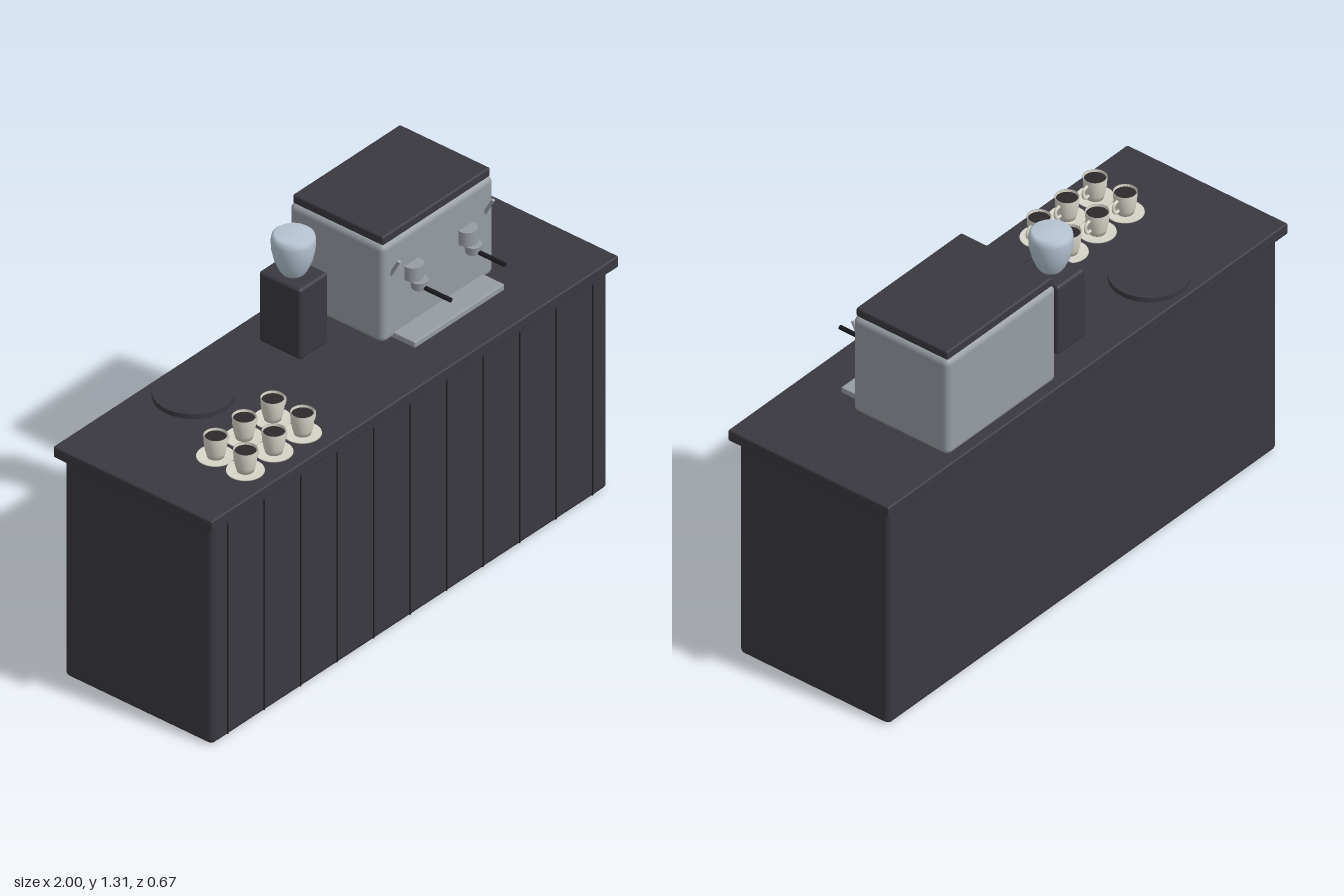
import * as THREE from 'three';
import { RoundedBoxGeometry } from 'three/addons/geometries/RoundedBoxGeometry.js';

function material(name, color) {
  const m = new THREE.MeshStandardMaterial({ color });
  m.name = name;
  return m;
}

export function createModel() {
  const charcoal = material('charcoal', 0x3a3840);
  const black = material('black', 0x1c1b20);
  const steel = material('steel', 0x969ca2);
  const paleGlass = material('pale glass', 0xb6c4d2);
  const china = material('cream china', 0xd8d5c9);
  china.side = THREE.DoubleSide;
  const coffee = material('coffee', 0x2e2a2c);

  const model = new THREE.Group();
  model.name = 'coffeeCounter';

  const add = (name, geometry, mat, x = 0, y = 0, z = 0, parent = model) => {
    const mesh = new THREE.Mesh(geometry, mat);
    mesh.name = name;
    mesh.position.set(x, y, z);
    parent.add(mesh);
    return mesh;
  };
  // rounded box given by its minimum and maximum corners
  const block = (name, mat, r, [x0, y0, z0], [x1, y1, z1], parent) =>
    add(name, new RoundedBoxGeometry(x1 - x0, y1 - y0, z1 - z0, 3, r), mat,
      (x0 + x1) / 2, (y0 + y1) / 2, (z0 + z1) / 2, parent);
  const lathe = (points, segments = 32) =>
    new THREE.LatheGeometry(points.map(([r, y]) => new THREE.Vector2(r, y)), segments);

  // Counter with panel seams on the front
  const top = 0.887;
  block('counterBody', charcoal, 0.02, [-0.973, 0, -0.311], [0.973, 0.85, 0.311]);
  block('counterTop', charcoal, 0.006, [-1, 0.845, -0.333], [1, top, 0.333]);
  for (let i = -5; i <= 5; i++) {
    add('panelSeam', new THREE.BoxGeometry(0.005, 0.81, 0.004), black, i * 0.179, 0.415, 0.311);
  }

  // Espresso machine
  const machine = new THREE.Group();
  machine.name = 'espressoMachine';
  model.add(machine);
  block('machineBody', steel, 0.022, [0.122, top, -0.304], [0.668, 1.262, 0.093], machine);
  block('machineLid', charcoal, 0.007, [0.131, 1.26, -0.295], [0.659, 1.294, 0.085], machine);
  block('dripTray', steel, 0.004, [0.175, top, 0.08], [0.615, 0.91, 0.182], machine);

  for (const x of [0.262, 0.528]) {
    const head = new THREE.Group();
    head.name = 'brewHead';
    head.position.set(x, 0, 0.1);
    machine.add(head);
    add('brewCylinder', new THREE.CylinderGeometry(0.035, 0.035, 0.052, 28), steel, 0, 1.111, 0, head);
    add('filterBasket', new THREE.CylinderGeometry(0.03, 0.026, 0.03, 28), steel, 0, 1.07, 0.025, head);
    const handle = add('filterHandle', new THREE.CylinderGeometry(0.008, 0.008, 0.125, 14),
      black, 0, 1.062, 0.096, head);
    handle.rotation.x = Math.PI / 2;
  }

  // Steam levers slope up and outward
  for (const x of [0.164, 0.626]) {
    const lever = add('steamLever', new THREE.CylinderGeometry(0.006, 0.006, 0.08, 12),
      steel, x, 1.168, 0.106, machine);
    lever.rotation.x = 0.5;
  }

  // Grinder with bean hopper
  block('grinderBody', charcoal, 0.012, [-0.118, top, -0.225], [0.022, 1.157, -0.05]);
  add('beanHopper', lathe([[0, 1.154], [0.036, 1.154], [0.047, 1.17], [0.062, 1.205], [0.071, 1.245],
    [0.073, 1.28], [0.07, 1.297], [0.06, 1.305], [0, 1.307]], 40), paleGlass, -0.048, 0, -0.138);

  // Round serving tray
  add('servingTray', new THREE.CylinderGeometry(0.133, 0.133, 0.018, 48), charcoal,
    -0.49, top + 0.009, -0.18);

  // Cups and saucers
  const saucer = lathe([[0, 0], [0.045, 0], [0.063, 0.005], [0.062, 0.008], [0.045, 0.004], [0, 0.004]]);
  const cup = lathe([[0, 0.006], [0.028, 0.006], [0.033, 0.025], [0.038, 0.055], [0.04, 0.087],
    [0.037, 0.087], [0.035, 0.06]]);
  const coffeeDisc = new THREE.CylinderGeometry(0.0362, 0.0358, 0.004, 32);
  const cupHandle = new THREE.TorusGeometry(0.018, 0.005, 10, 24);
  for (const x of [-0.71, -0.57, -0.43]) {
    for (const z of [0.102, 0.227]) {
      const set = new THREE.Group();
      set.name = 'cupAndSaucer';
      set.position.set(x, top, z);
      model.add(set);
      add('saucer', saucer, china, 0, 0, 0, set);
      add('cup', cup, china, 0, 0, 0, set);
      add('coffeeSurface', coffeeDisc, coffee, 0, 0.077, 0, set);
      const ring = add('cupHandle', cupHandle, china, 0.042, 0.048, 0, set);
      ring.scale.y = 1.15;
    }
  }

  return model;
}
